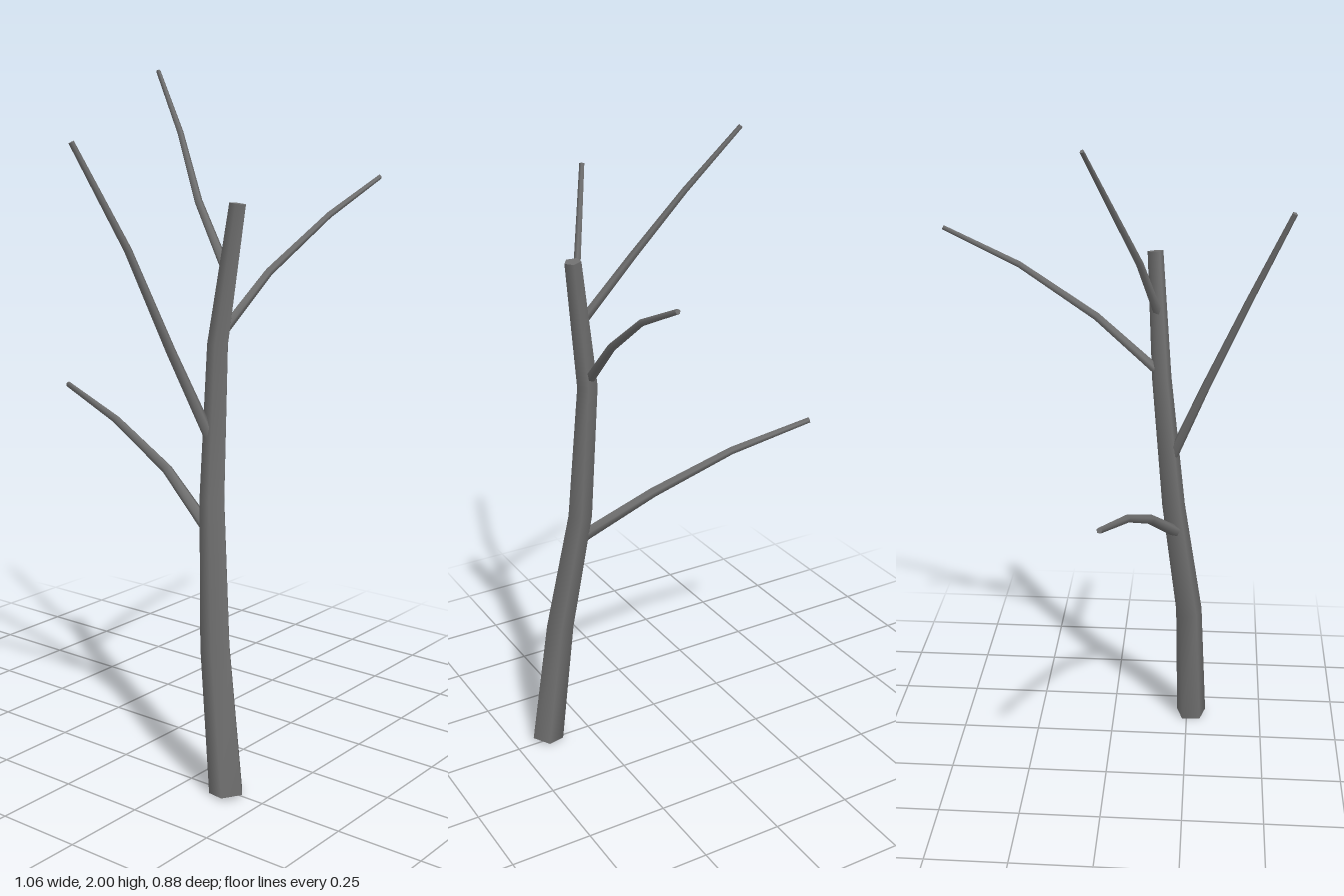
import * as THREE from 'three';

const SIDES = 5;

// Tapered five-sided limb along a list of points, smooth sides and flat end caps
function limb(name, points, r0, r1, ref, material) {
  const path = points.map((p) => new THREE.Vector3(...p));
  const last = path.length - 1;
  const pos = [];
  const index = [];
  const rings = path.map((p, i) => {
    const t = new THREE.Vector3();
    if (i > 0) t.add(p.clone().sub(path[i - 1]).normalize());
    if (i < last) t.add(path[i + 1].clone().sub(p).normalize());
    t.normalize();
    const v = ref.clone().addScaledVector(t, -ref.dot(t)).normalize();
    const u = t.clone().cross(v);
    const r = r0 + (r1 - r0) * (i / last);
    return Array.from({ length: SIDES }, (_, j) => {
      const a = (j / SIDES) * Math.PI * 2;
      return p.clone().addScaledVector(v, r * Math.cos(a)).addScaledVector(u, r * Math.sin(a));
    });
  });
  const push = (p) => pos.push(p.x, p.y, p.z) / 3 - 1;

  // Sides
  rings.forEach((ring) => ring.forEach(push));
  for (let i = 0; i < last; i++) {
    for (let j = 0; j < SIDES; j++) {
      const k = (j + 1) % SIDES;
      const a = i * SIDES + j, b = i * SIDES + k;
      index.push(a, b, b + SIDES, a, b + SIDES, a + SIDES);
    }
  }
  // End caps with their own corners
  for (const end of [0, last]) {
    const c = rings[end].map(push);
    for (let j = 1; j < SIDES - 1; j++) {
      if (end === 0) index.push(c[0], c[j + 1], c[j]);
      else index.push(c[0], c[j], c[j + 1]);
    }
  }

  const geometry = new THREE.BufferGeometry();
  geometry.setAttribute('position', new THREE.Float32BufferAttribute(pos, 3));
  geometry.setIndex(index);
  geometry.computeVertexNormals();
  const mesh = new THREE.Mesh(geometry, material);
  mesh.name = name;
  return mesh;
}

export function createModel() {
  const tree = new THREE.Group();
  tree.name = 'bareTree';
  const bark = new THREE.MeshStandardMaterial({ color: 0x707070 });
  bark.name = 'greyBark';
  const up = new THREE.Vector3(0, 1, 0);
  const front = new THREE.Vector3(0, 0, 1);

  // Trunk, gently bent
  tree.add(limb('trunk', [
    [-0.265, 0.007, 0.39], [-0.25, 0.42, 0.337], [-0.194, 0.82, 0.28],
    [-0.151, 1.25, 0.263], [-0.125, 1.635, 0.308],
  ], 0.051, 0.025, front, bark));

  // Branches, each rooted inside the trunk
  const branches = {
    backBranch: [[-0.2, 0.74, 0.265], [-0.13, 0.865, 0.06], [-0.073, 0.97, -0.185], [-0.015, 1.04, -0.435]],
    rightBranch: [[-0.19, 1.0, 0.262], [-0.285, 1.24, 0.205], [-0.405, 1.52, 0.157], [-0.524, 1.8, 0.07]],
    leftBranch: [[-0.145, 1.27, 0.258], [0.05, 1.435, 0.285], [0.29, 1.583, 0.325], [0.525, 1.687, 0.352]],
    topBranch: [[-0.137, 1.45, 0.28], [-0.087, 1.635, 0.14], [-0.012, 1.82, 0.015], [0.055, 1.994, -0.122]],
  };
  const radii = { backBranch: 0.019, rightBranch: 0.017, leftBranch: 0.015, topBranch: 0.014 };
  for (const [name, points] of Object.entries(branches)) {
    tree.add(limb(name, points, radii[name], radii[name] * 0.48, up, bark));
  }
  return tree;
}
